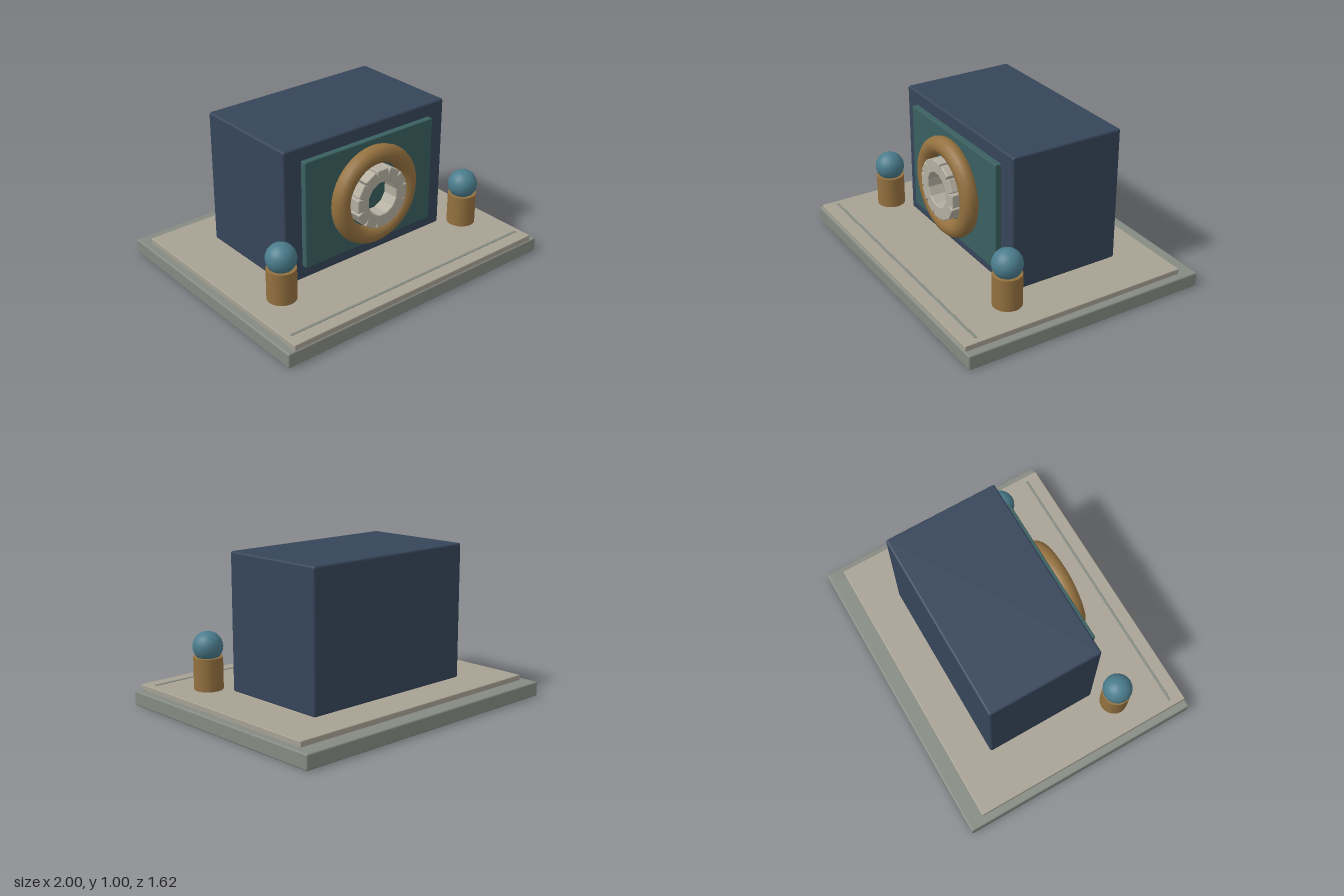
import * as THREE from 'three';
import { RoundedBoxGeometry } from 'three/addons/geometries/RoundedBoxGeometry.js';

const mat = (color) => new THREE.MeshStandardMaterial({ color });
const stone = mat(0x858a82);
const paving = mat(0xa8a294);
const navy = mat(0x36455a);
const teal = mat(0x3a5f60);
const bronze = mat(0x94713f);
const pale = mat(0xb4aea0);
const blue = mat(0x4a7c8c);

export function createModel() {
  const model = new THREE.Group();

  function add(name, geometry, material, x, y, z, parent = model) {
    const mesh = new THREE.Mesh(geometry, material);
    mesh.name = name;
    mesh.position.set(x, y, z);
    parent.add(mesh);
    return mesh;
  }

  // Softly rounded box given by its min and max corners
  function block(name, material, [x0, y0, z0], [x1, y1, z1], radius) {
    const geometry = new RoundedBoxGeometry(x1 - x0, y1 - y0, z1 - z0, 2, radius);
    return add(name, geometry, material, (x0 + x1) / 2, (y0 + y1) / 2, (z0 + z1) / 2);
  }

  // Stepped ground
  block('base', stone, [-1, 0, -0.81], [1, 0.095, 0.81], 0.01);
  block('paving', paving, [-0.95, 0.09, -0.705], [0.95, 0.13, 0.803], 0.006);
  block('frontStrip', stone, [-0.91, 0.122, 0.702], [0.91, 0.134, 0.72], 0.003);

  // Main body with its raised front panel
  block('body', navy, [-0.623, 0.125, -0.457], [0.623, 1, 0.29], 0.014);
  block('frontPanel', teal, [-0.498, 0.217, 0.27], [0.498, 0.913, 0.328], 0.006);

  // Round portal: outer ring and a circle of small blocks
  const portal = new THREE.Group();
  portal.name = 'portal';
  portal.position.set(0, 0.567, 0);
  model.add(portal);
  add('outerRing', new THREE.TorusGeometry(0.264, 0.058, 12, 40), bronze, 0, 0, 0.364, portal);

  const blockGeometry = new RoundedBoxGeometry(0.086, 0.088, 0.11, 2, 0.008);
  const count = 12;
  for (let i = 0; i < count; i++) {
    const a = (i / count) * Math.PI * 2;
    const b = add('ringBlock', blockGeometry, pale, Math.cos(a) * 0.15, Math.sin(a) * 0.15, 0.385, portal);
    b.rotation.z = a;
  }

  // Posts with ball tops on both sides
  for (const side of [-1, 1]) {
    const post = new THREE.Group();
    post.name = side > 0 ? 'leftPost' : 'rightPost';
    post.position.set(side * 0.73, 0, 0.393);
    model.add(post);
    add('shaft', new THREE.CylinderGeometry(0.091, 0.091, 0.205, 20), bronze, 0, 0.246, 0, post);
    add('ball', new THREE.SphereGeometry(0.094, 20, 14), blue, 0, 0.412, 0, post);
  }

  return model;
}
